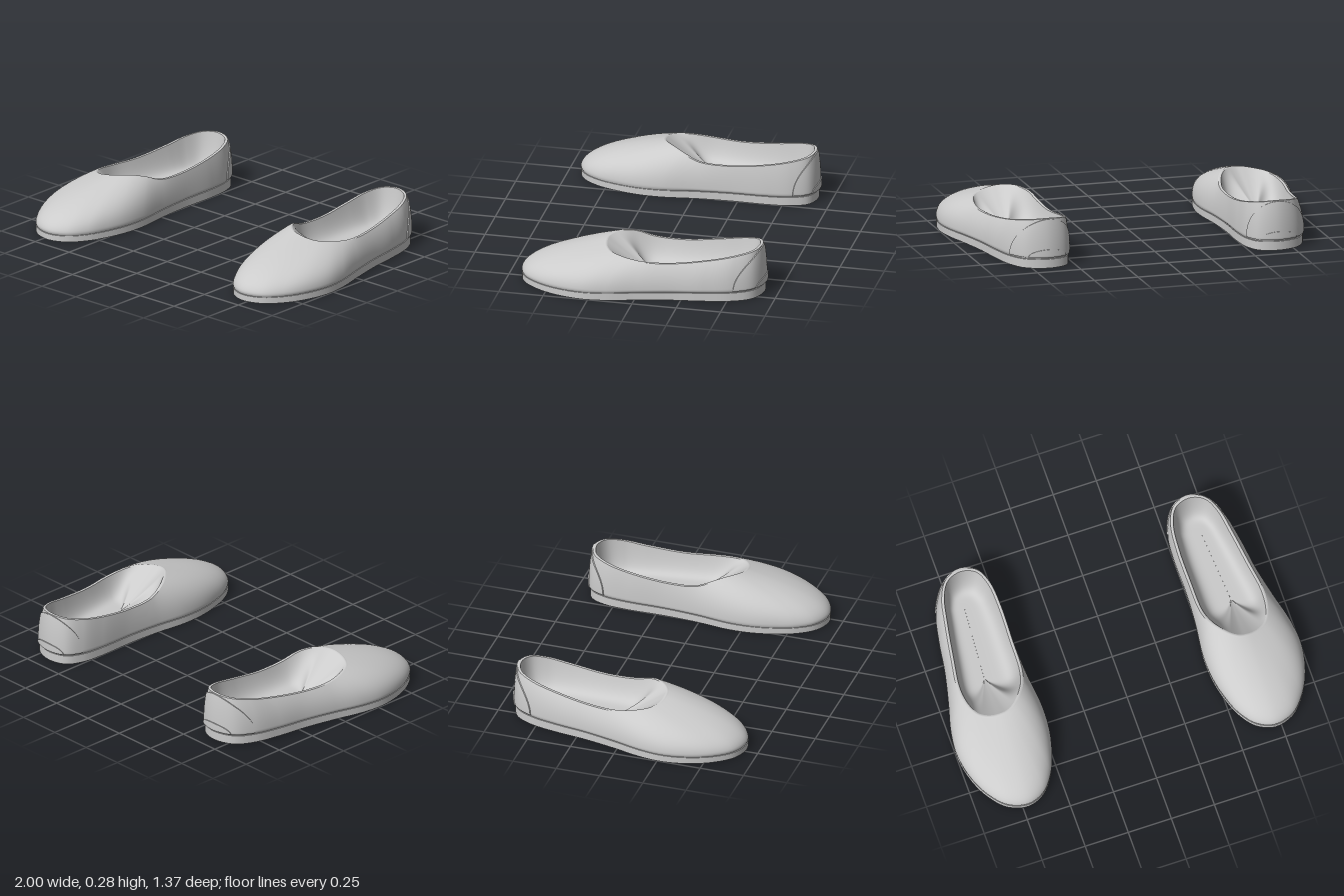
import * as THREE from 'three';
import { ParametricGeometry } from 'three/addons/geometries/ParametricGeometry.js';

// Matching stations of the left shoe, from the toe round the outer side to the heel and back:
// outline x, z, then topline x, y, z
const stations = [
  [0.715, 0.682, 0.715, 0.25, 0.215], [0.828, 0.65, 0.76, 0.242, 0.21],
  [0.912, 0.56, 0.80, 0.235, 0.195], [0.97, 0.44, 0.84, 0.228, 0.165],
  [1.0, 0.29, 0.868, 0.221, 0.115], [0.988, 0.15, 0.885, 0.212, 0.05],
  [0.945, -0.02, 0.89, 0.203, -0.04], [0.905, -0.2, 0.867, 0.202, -0.2],
  [0.88, -0.37, 0.835, 0.226, -0.4], [0.843, -0.53, 0.805, 0.252, -0.54],
  [0.78, -0.633, 0.75, 0.27, -0.63], [0.66, -0.675, 0.66, 0.278, -0.66],
  [0.555, -0.643, 0.57, 0.27, -0.63], [0.51, -0.555, 0.523, 0.252, -0.54],
  [0.495, -0.42, 0.508, 0.226, -0.4], [0.497, -0.21, 0.51, 0.202, -0.2],
  [0.487, -0.02, 0.515, 0.208, -0.03], [0.465, 0.18, 0.54, 0.241, 0.07],
  [0.472, 0.32, 0.575, 0.256, 0.13], [0.5, 0.44, 0.615, 0.259, 0.175],
  [0.543, 0.55, 0.65, 0.257, 0.2], [0.615, 0.642, 0.68, 0.254, 0.212],
];
const V = (x, y, z) => new THREE.Vector3(x, y, z);
const { clamp, lerp, smoothstep } = THREE.MathUtils;
const outline = new THREE.CatmullRomCurve3(stations.map(s => V(s[0], 0, s[1])), true);
const topline = new THREE.CatmullRomCurve3(stations.map(s => V(s[2], s[3], s[4])), true);
const wrap = u => ((u % 1) + 1) % 1;
const soleTop = z => 0.042 - 0.012 * z;
const soleCentre = V(0.7, 0, 0);

// Shift a point horizontally towards the long middle line of the shoe (negative = outwards)
function inset(p, d) {
  const dir = V(0.7 - p.x, 0, clamp(p.z, -0.45, 0) - p.z).normalize();
  return p.addScaledVector(dir, d);
}

// Outer skin: t = 0 at the sole, t = 1 at the topline
function skin(u, t) {
  const o = outline.getPoint(wrap(u)), r = topline.getPoint(wrap(u));
  const h = Math.pow(t, 2.4 - 0.25 * smoothstep(o.z, 0.4, 0.65));
  const base = soleTop(o.z) + 0.001;
  const p = V(lerp(o.x, r.x, h), lerp(base, r.y, t), lerp(o.z, r.z, h));
  return inset(p, 0.007 * Math.max(0, 1 - t / 0.1) ** 2);
}

// Sole edge at its upper rim
function soleEdge(u, d = 0) {
  const p = inset(outline.getPoint(wrap(u)), 0.003 + d);
  p.y = soleTop(p.z);
  return p;
}

// Rounded collar edge, a = 0 outside to 1 inside
function collar(u, a) {
  const p = inset(topline.getPoint(wrap(u)), 0.016 * a);
  p.y += 0.002 * Math.sin(Math.PI * a);
  return p;
}

// Lining: steep, rounded walls at the sides and heel, an even slope under the vamp
function lining(u, v) {
  const p = collar(u, 1);
  const front = smoothstep(p.z, -0.02, 0.17);
  const z = clamp(p.z, -0.5, -0.08);
  const drop = 1 - Math.pow(1 - v, lerp(6, 1.2, front));
  return V(lerp(p.x, 0.7 + 0.07 * (z + 0.3), v), lerp(p.y, 0.075, drop), lerp(p.z, z, v));
}

function createShoe(side) {
  const shoe = new THREE.Group();
  shoe.name = side > 0 ? 'leftShoe' : 'rightShoe';
  const material = new THREE.MeshStandardMaterial({ color: 0xcccccc, side: THREE.DoubleSide });
  const surface = (name, fn, nu, nv) => {
    const geometry = new ParametricGeometry((u, v, target) => {
      target.copy(fn(side > 0 ? u : 1 - u, v));
      target.x *= side;
    }, nu, nv);
    const mesh = new THREE.Mesh(geometry, material);
    mesh.name = name;
    shoe.add(mesh);
  };

  // Half-round patch raised from the heel by depth d, with a border that closes its edge
  const heelPatch = (name, width, t0, t1, d) => {
    const at = (s, t, raise) => inset(skin(0.5 + s * width, lerp(t0, t1, t)), -raise);
    surface(name, (u, v) => at((u * 2 - 1) * Math.sqrt(1 - 0.998 * v * v), v, d), 28, 20);
    surface(name + 'Border', (u, v) => {
      const a = Math.PI * (1 - u);
      return at(Math.cos(a), Math.sin(a), d * (1 - v));
    }, 40, 1);
  };

  // Sole
  surface('soleBottom', (u, v) => {
    const p = soleEdge(u).setY(0);
    return p.lerp(soleCentre, 0.999 * (1 - v));
  }, 88, 2);
  surface('soleWall', (u, v) => {
    const p = soleEdge(u);
    p.y *= v;
    return p;
  }, 88, 2);
  surface('soleLedge', (u, v) => soleEdge(u, 0.03 * v), 88, 1);

  // Upper, collar and lining
  surface('upper', skin, 110, 24);
  surface('collar', collar, 110, 4);
  surface('lining', (u, v) => lining(u, 0.999 * v), 110, 24);

  // Heel counter and the small tab low on it
  heelPatch('heelCounter', 0.09, 0.05, 0.99, 0.006);
  heelPatch('heelTab', 0.04, 0.05, 0.25, 0.011);
  return shoe;
}

export function createModel() {
  const model = new THREE.Group();
  model.name = 'pairOfShoes';
  model.add(createShoe(1), createShoe(-1));
  return model;
}
